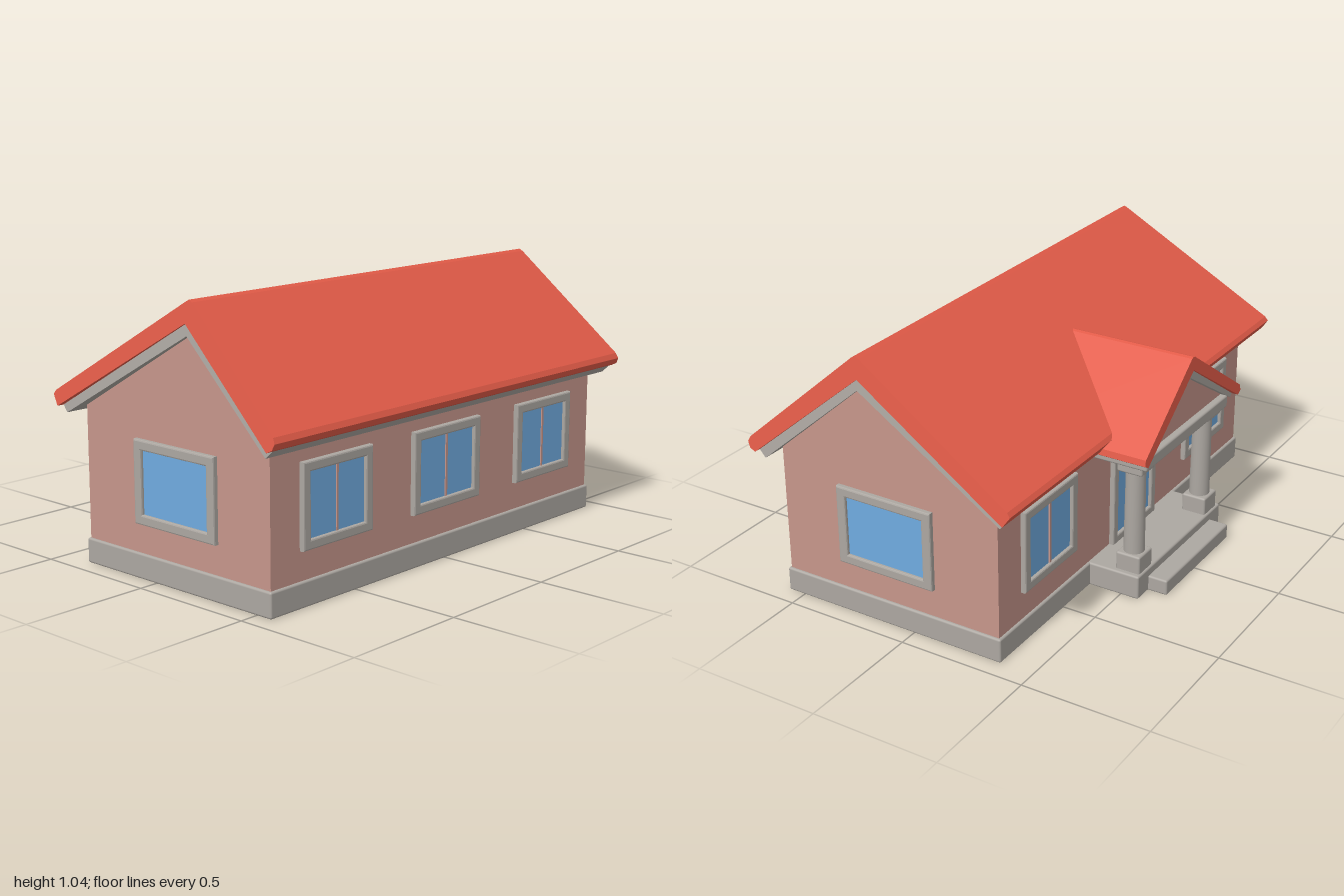
import * as THREE from 'three';
import { RoundedBoxGeometry } from 'three/addons/geometries/RoundedBoxGeometry.js';

const material = (name, color, side = THREE.FrontSide) => {
  const m = new THREE.MeshStandardMaterial({ color, side });
  m.name = name;
  return m;
};

const shapeOf = (points) => new THREE.Shape(points.map(([x, y]) => new THREE.Vector2(x, y)));

// Moves every vertex by a rule, then rebuilds the flat normals
function reshape(geometry, rule) {
  const p = geometry.attributes.position;
  const v = new THREE.Vector3();
  for (let i = 0; i < p.count; i++) {
    rule(v.fromBufferAttribute(p, i));
    p.setXYZ(i, v.x, v.y, v.z);
  }
  geometry.computeVertexNormals();
  return geometry;
}

// Prism along x from a (z, y) profile; half length goes from low at y0 to high at y1
function prismX(points, low, high = low, y0 = 0, y1 = 1) {
  const g = new THREE.ExtrudeGeometry(shapeOf(points), { depth: 2, bevelEnabled: false });
  g.translate(0, 0, -1);
  g.rotateY(-Math.PI / 2);
  return reshape(g, (v) => {
    v.x *= THREE.MathUtils.mapLinear(v.y, y0, y1, low, high);
  });
}

// Prism along z from an (x, y) profile
function prismZ(points, z0, z1) {
  const g = new THREE.ExtrudeGeometry(shapeOf(points), { depth: z1 - z0, bevelEnabled: false });
  return g.translate(0, 0, z0);
}

export function createModel() {
  const house = new THREE.Group();
  house.name = 'house';
  const wall = material('wall pink', 0xc6968b);
  const stone = material('stone grey', 0xaca7a1);
  const tile = material('roof red', 0xe25b48);
  const glass = material('glass blue', 0x70abe0);

  const add = (name, geometry, mat, parent = house) => {
    const mesh = new THREE.Mesh(geometry, mat);
    mesh.name = name;
    parent.add(mesh);
    return mesh;
  };
  // Softly rounded block between two corners
  const block = (name, mat, [x0, y0, z0], [x1, y1, z1], parent = house, r = 0.008) => {
    const g = new RoundedBoxGeometry(x1 - x0, y1 - y0, z1 - z0, 2, r);
    g.translate((x0 + x1) / 2, (y0 + y1) / 2, (z0 + z1) / 2);
    return add(name, g, mat, parent);
  };

  // Body
  add('walls', prismX([[-0.36, 0.02], [0.56, 0.02], [0.56, 0.62], [0.195, 0.935], [-0.36, 0.615]], 0.92), wall);
  block('foundation', stone, [-0.93, 0, -0.37], [0.93, 0.095, 0.57]);

  // Main roof and the trim below it, both flaring out towards the eaves
  add('mainRoof', prismX([
    [0.622, 0.592], [0.645, 0.603], [0.655, 0.625], [0.645, 0.645], [0.215, 1.028], [0.2, 1.036], [0.185, 1.028],
    [-0.445, 0.648], [-0.457, 0.632], [-0.43, 0.592], [0.19, 0.955],
  ], 0.998, 0.93, 0.6, 1.035), tile);
  add('mainTrim', prismX([
    [0.595, 0.565], [0.625, 0.594], [0.19, 0.96], [-0.43, 0.595], [-0.405, 0.568], [0.193, 0.912],
  ], 0.975, 0.935, 0.57, 0.95), stone);

  // Windows and door, built facing +z with the origin at the centre on the wall
  function opening(name, w, h, rim, x, y, z, turn, bar) {
    const group = new THREE.Group();
    group.name = name;
    const rect = (a, b) => [[-a, -b], [a, -b], [a, b], [-a, b]];
    const frame = shapeOf(rect(w / 2 - 0.006, h / 2 - 0.006));
    const hole = rect(w / 2 - rim + 0.006, h / 2 - rim + 0.006).reverse();
    frame.holes.push(new THREE.Path(hole.map(([a, b]) => new THREE.Vector2(a, b))));
    const g = new THREE.ExtrudeGeometry(frame, {
      depth: 0.022, bevelSize: 0.006, bevelThickness: 0.006, bevelSegments: 2,
    });
    add('frame', g.translate(0, 0, -0.008), stone, group);
    const pane = new THREE.BoxGeometry(w - rim * 2 + 0.01, h - rim * 2 + 0.01, 0.008);
    add('pane', pane.translate(0, 0, 0.003), glass, group);
    if (bar) {
      const strip = new THREE.BoxGeometry(0.01, h - rim * 2 + 0.01, 0.009);
      add('bar', strip.translate(0, 0, 0.007), wall, group);
    }
    group.position.set(x, y, z);
    group.rotation.y = turn;
    house.add(group);
  }
  for (const [x, w] of [[-0.602, 0.355], [-0.005, 0.385], [0.597, 0.355]]) {
    opening('frontWindow', w, 0.31, 0.037, x, 0.357, 0.56, 0, true);
  }
  for (const s of [-1, 1]) {
    opening('backWindow', 0.355, 0.32, 0.037, s * 0.6, 0.365, -0.36, Math.PI, true);
    opening('sideWindow', 0.405, 0.31, 0.038, s * 0.92, 0.36, 0.11, s * Math.PI / 2, false);
  }
  opening('door', 0.33, 0.44, 0.035, -0.01, 0.31, -0.36, Math.PI, false);

  // Porch at the back
  const porch = new THREE.Group();
  porch.name = 'porch';
  porch.position.x = -0.02;
  house.add(porch);
  block('floor', stone, [-0.335, 0, -0.575], [0.335, 0.095, -0.3], porch);
  block('step', stone, [-0.255, 0, -0.652], [0.255, 0.062, -0.5], porch);
  for (const s of [-1, 1]) {
    const column = new THREE.Group();
    column.name = 'column';
    column.position.set(s * 0.265, 0, -0.517);
    porch.add(column);
    block('base', stone, [-0.05, 0.085, -0.05], [0.05, 0.165, 0.05], column);
    const shaft = new THREE.CylinderGeometry(0.037, 0.04, 0.36, 24);
    add('shaft', shaft.translate(0, 0.335, 0), stone, column);
    block('capital', stone, [-0.052, 0.5, -0.052], [0.052, 0.535, 0.052], column);
    block('sideBeam', stone, [s * 0.275 - 0.05, 0.53, -0.585], [s * 0.275 + 0.05, 0.578, -0.34], porch);
  }
  block('frontBeam', stone, [-0.325, 0.53, -0.592], [0.325, 0.58, -0.47], porch);
  add('gable', prismZ([[-0.31, 0.55], [0.31, 0.55], [0.31, 0.6], [0, 0.8], [-0.31, 0.6]], -0.565, -0.1), wall, porch);
  add('porchTrim', prismZ([
    [-0.345, 0.562], [0, 0.775], [0.345, 0.562], [0.368, 0.578], [0, 0.82], [-0.368, 0.578],
  ], -0.592, -0.1), stone, porch);

  // Porch roof, its outer end leaning out towards the eaves
  const porchRoof = prismZ([
    [-0.362, 0.572], [0, 0.81], [0.362, 0.572], [0.383, 0.585], [0.378, 0.608],
    [0.012, 0.858], [0, 0.862], [-0.012, 0.858], [-0.378, 0.608], [-0.383, 0.585],
  ], -0.6, -0.07);
  reshape(porchRoof, (v) => {
    if (v.z < -0.5) v.z -= 0.018 * (0.862 - v.y) / 0.29;
  });
  add('porchRoof', porchRoof, tile, porch);

  return house;
}
